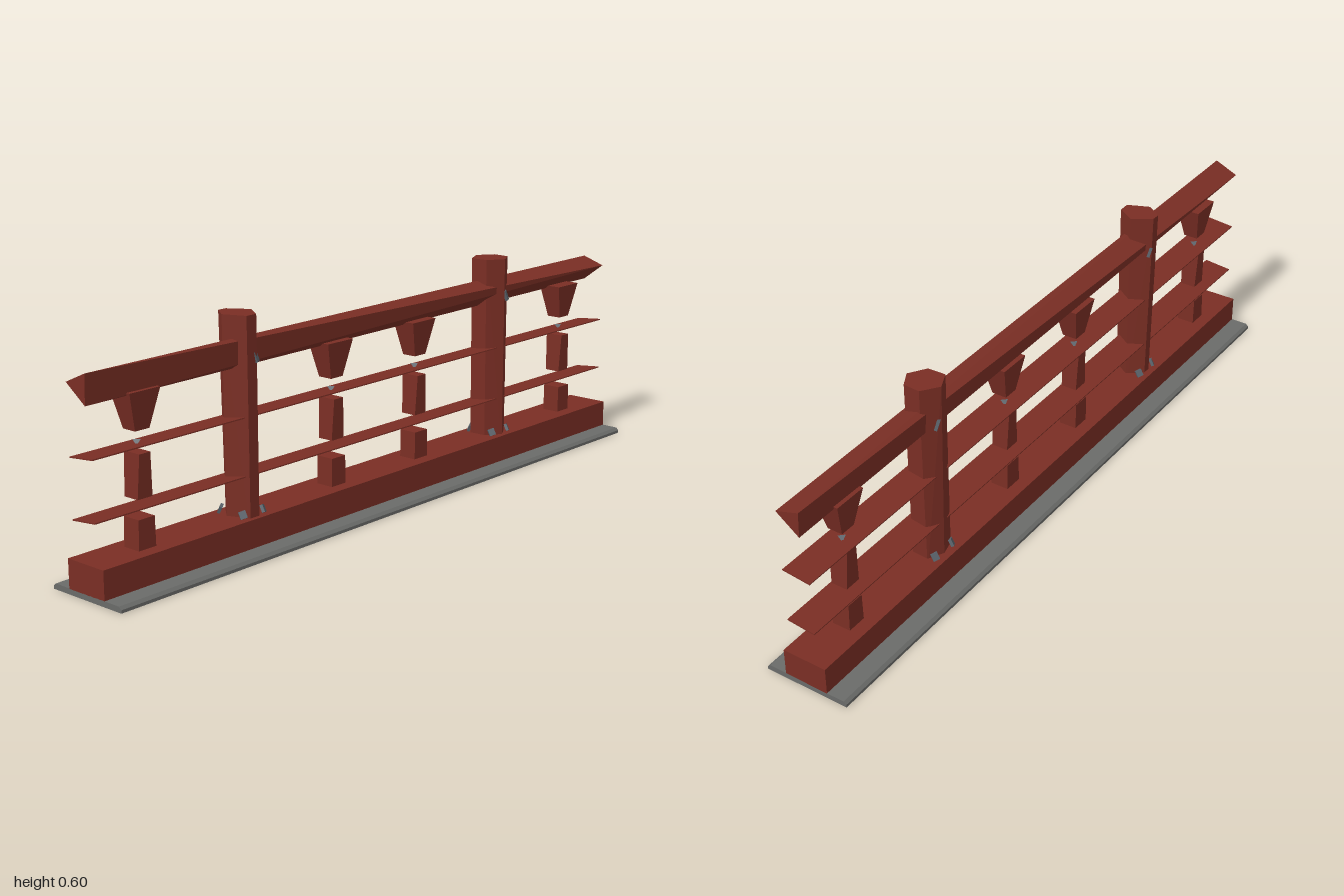
import * as THREE from 'three';
import { ConvexGeometry } from 'three/addons/geometries/ConvexGeometry.js';

export function createModel() {
  const group = new THREE.Group();
  const redWood = new THREE.MeshStandardMaterial({ color: 0x7a2e24 });
  const greyStone = new THREE.MeshStandardMaterial({ color: 0x6a6b69 });
  const greyMetal = new THREE.MeshStandardMaterial({ color: 0x59626a });

  const add = (name, geometry, material, x = 0, y = 0, z = 0) => {
    const mesh = new THREE.Mesh(geometry, material);
    mesh.name = name;
    mesh.position.set(x, y, z);
    group.add(mesh);
    return mesh;
  };
  // Faceted solid around a list of [x, y, z] corners
  const hull = (points) => new ConvexGeometry(points.map((p) => new THREE.Vector3(...p)));
  // Four-sided block with different bottom and top half-widths
  const taper = (y0, x0, z0, y1, x1, z1) => {
    const points = [];
    for (const sx of [-1, 1]) for (const sz of [-1, 1]) {
      points.push([sx * x0, y0, sz * z0], [sx * x1, y1, sz * z1]);
    }
    return hull(points);
  };

  // Stone strip with bevelled long edges
  const stone = [];
  for (const x of [-1, 1]) for (const s of [-1, 1]) {
    stone.push([x, 0, s * 0.12], [x, 0.008, s * 0.12], [x, 0.015, s * 0.112]);
  }
  add('basePlate', hull(stone), greyStone);
  add('bottomBeam', new THREE.BoxGeometry(2, 0.075, 0.125), redWood, 0, 0.0515, 0);

  // Hand-hewn top rail whose triangular section flips from end to end
  add('topRail', hull([
    [-1, 0.543, 0.025], [-1, 0.467, 0.022], [-1, 0.513, -0.042],
    [1, 0.513, 0.042], [1, 0.535, -0.025], [1, 0.465, -0.022],
  ]), redWood);

  // Thin tilted slats
  for (const y of [0.191, 0.341]) {
    add('slat', new THREE.BoxGeometry(2, 0.003, 0.08), redWood, 0, y, 0).rotation.x = -0.1;
  }

  // Irregular posts, slightly narrower at the back of the foot
  const sections = [
    [-0.5, [[-0.045, -0.01], [-0.02, 0.05], [0.013, 0.05], [0.045, 0], [0.01, -0.053], [-0.015, -0.053]]],
    [0.5, [[-0.048, -0.03], [0, -0.053], [0.045, -0.02], [0.042, 0.027], [0, 0.05], [-0.046, 0.02]]],
  ];
  for (const [x, section] of sections) {
    const points = [];
    for (const [px, pz] of section) {
      points.push([px, 0.6, pz], [px * 0.93, 0.05, pz < -0.04 ? -0.042 : pz]);
    }
    add('post', hull(points), redWood, x);
  }

  // Struts: foot, middle block and flared cap
  for (const x of [-0.834, -0.17, 0.165, 0.834]) {
    add('strutFoot', taper(0.085, 0.027, 0.026, 0.165, 0.025, 0.026), redWood, x);
    add('strutMiddle', taper(0.213, 0.023, 0.023, 0.323, 0.017, 0.027), redWood, x);
    add('strutCap', taper(0.378, 0.022, 0.021, 0.475, 0.047, 0.035), redWood, x);
    add('strutPin', new THREE.TetrahedronGeometry(0.012), greyMetal, x, 0.345, 0);
  }

  // Small metal clips at the foot of the posts and where the rail crosses
  for (const x of [-0.5, 0.5]) {
    for (const side of [-1, 1]) {
      for (const dx of [-0.035, 0.035]) {
        const foot = add('footClip', new THREE.BoxGeometry(0.018, 0.02, 0.008), greyMetal, x + dx, 0.1, side * 0.04);
        foot.rotation.set(side * -0.5, 0.6 * Math.sign(dx) * side, 0);
      }
      const clip = add('railClip', new THREE.BoxGeometry(0.015, 0.028, 0.008), greyMetal, x + 0.012, 0.494, side * 0.046);
      clip.rotation.set(-0.3, 0.4, 0.3);
    }
  }
  return group;
}
